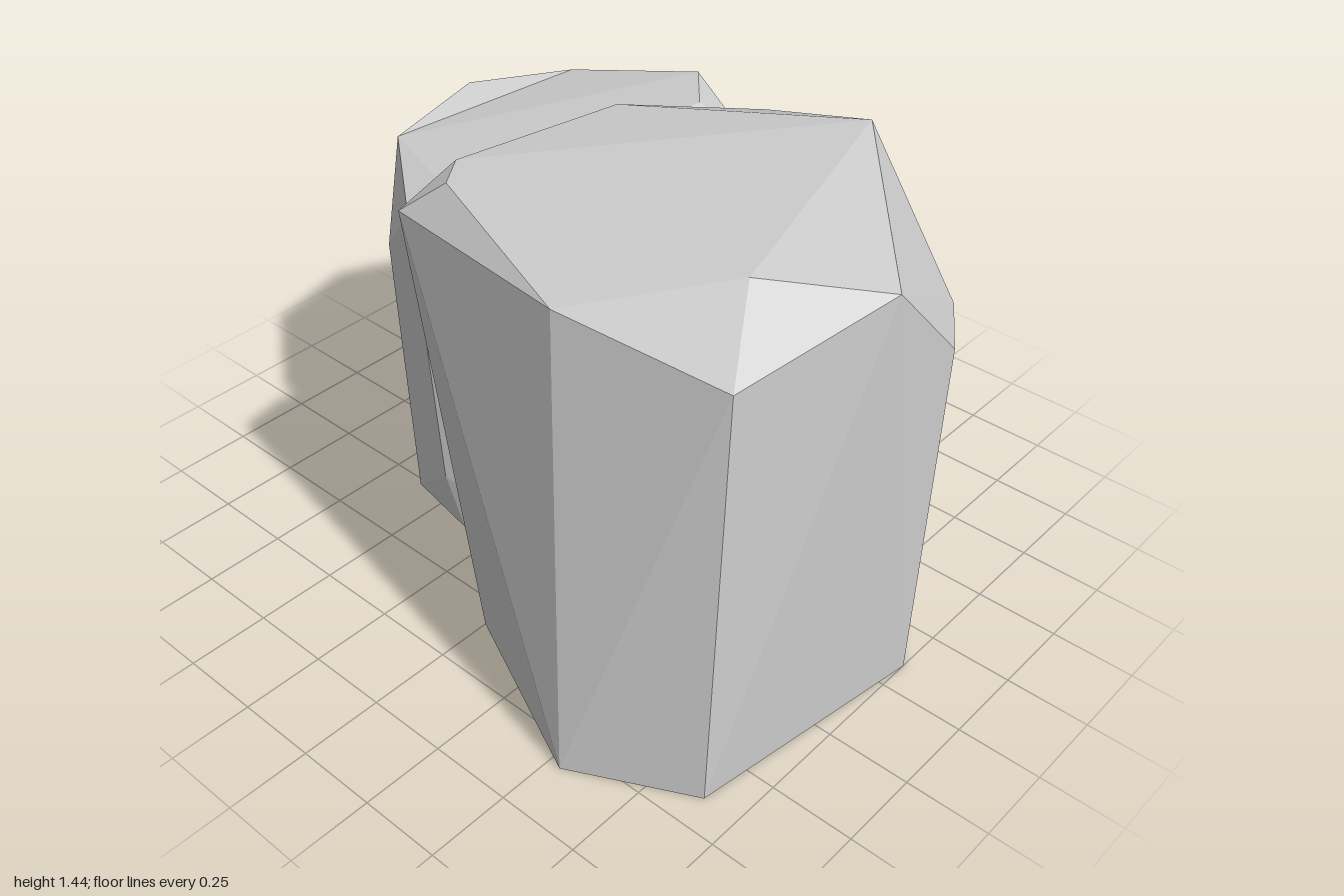
import * as THREE from 'three';
import { ConvexGeometry } from 'three/addons/geometries/ConvexGeometry.js';

const stone = new THREE.MeshStandardMaterial({ color: 0xcccccc, flatShading: true });

// A faceted boulder: the convex hull of its corner points
function boulder(name, corners) {
  const points = corners.map(([x, y, z]) => new THREE.Vector3(x, y, z));
  const mesh = new THREE.Mesh(new ConvexGeometry(points), stone);
  mesh.name = name;
  return mesh;
}

export function createModel() {
  const group = new THREE.Group();
  group.name = 'boulders';

  group.add(boulder('largeBoulder', [
    // base ring
    [0.10, 0, 1.0], [0.37, 0, 0.80], [0.46, 0, 0.26], [0.35, 0, 0.02],
    [-0.58, 0, 0], [-0.83, 0, 0.54], [-0.65, 0, 0.89],
    // rear chamfer, lower end
    [-0.58, 0.6, -0.11], [-0.46, 0.35, -0.17],
    // shoulder
    [0.17, 1.05, 0.99], [0.35, 1.05, 0.87], [0.50, 1.08, 0.08], [0.49, 1.31, 0.12],
    [0.37, 1.13, -0.06], [0.10, 1.36, -0.11], [-0.48, 1.34, -0.21], [-0.63, 1.34, -0.18],
    [-0.71, 1.35, 0.43], [-0.58, 1.25, 0.87], [-0.13, 1.36, 1.0],
    // top
    [-0.41, 1.44, 0.77], [0.42, 1.44, 0.52], [0.08, 1.41, -0.08],
    [-0.47, 1.44, -0.13], [-0.57, 1.44, -0.06],
  ]));

  // corners shared by the small boulder and its crest
  const rearEdge = [[-0.10, 1.13, -0.80], [0.57, 1.14, -0.72], [0.25, 1.04, -0.95]];

  group.add(boulder('smallBoulder', [
    ...rearEdge,
    // base ring
    [0.28, 0, -1.0], [0.58, 0, -0.86], [0.73, 0, -0.36], [0.48, 0, -0.05],
    [-0.25, 0, -0.10], [-0.32, 0, -0.36], [-0.27, 0, -0.62],
    // sides
    [0.82, 0.53, -0.29], [0.76, 0.31, -0.18], [0.50, 0.85, -0.88],
    [-0.29, 0.90, -0.65], [-0.36, 1.10, -0.47], [-0.35, 0.20, -0.40],
    // shoulder
    [0.76, 1.10, -0.28], [0.72, 1.05, -0.17], [0.63, 1.13, -0.08],
    [0.42, 1.01, 0.0], [0.12, 1.08, -0.10], [-0.12, 1.05, -0.12], [-0.25, 1.14, -0.39],
    // top
    [0.73, 1.20, -0.33], [0.57, 1.20, -0.19], [0.26, 1.17, -0.23],
  ]));

  // raised ridge along the rear of the small boulder
  group.add(boulder('smallBoulderCrest', [...rearEdge, [0.20, 1.20, -0.80]]));

  return group;
}
